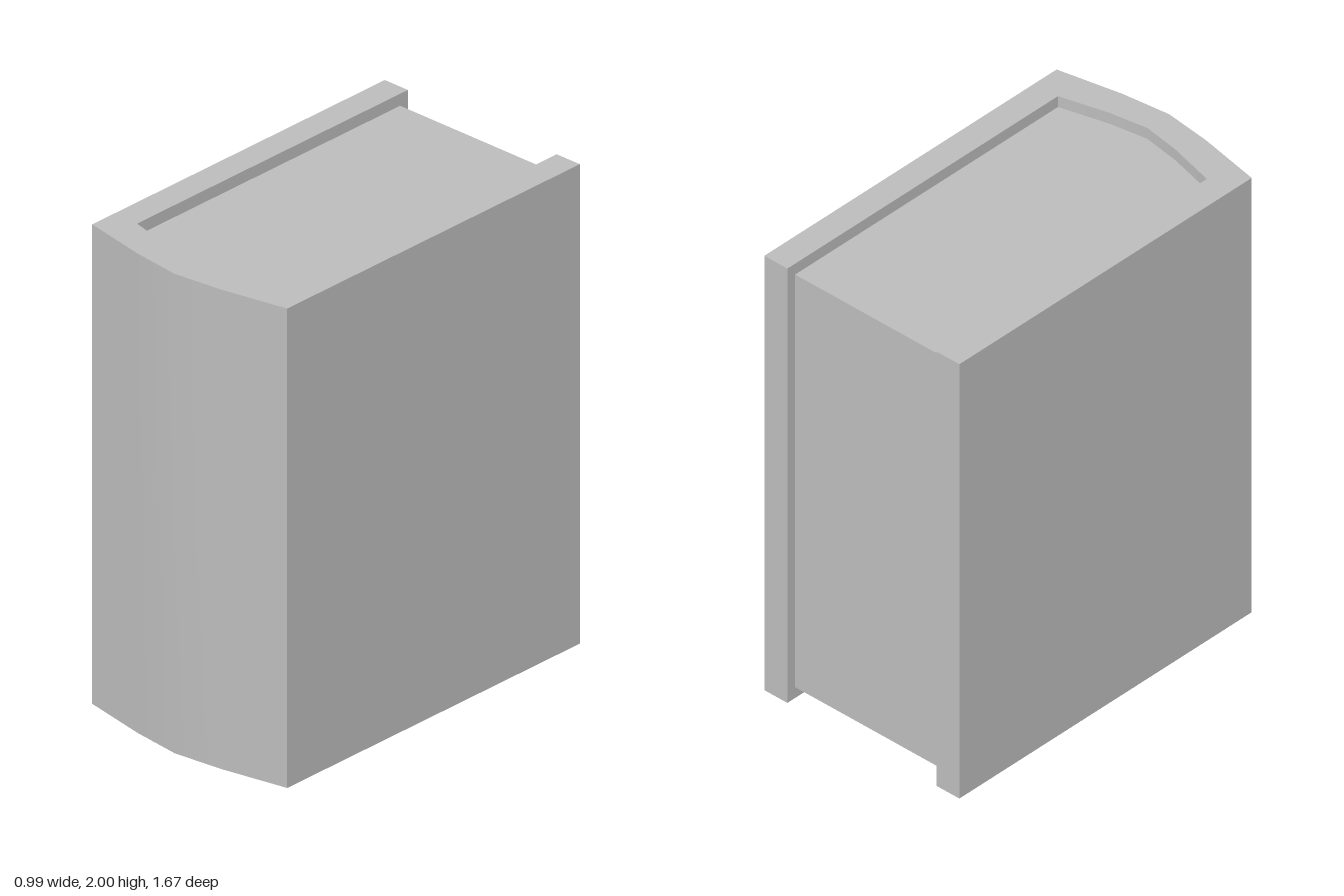
import * as THREE from 'three';
import { toCreasedNormals } from 'three/addons/utils/BufferGeometryUtils.js';

// Extrudes an outline of [x, z] points upward from y0 to y1.
function upright(points, y0, y1, material, name) {
  const shape = new THREE.Shape(points.map(([x, z]) => new THREE.Vector2(x, -z)));
  const geometry = new THREE.ExtrudeGeometry(shape, { depth: y1 - y0, bevelEnabled: false });
  geometry.rotateX(-Math.PI / 2).translate(0, y0, 0);
  const mesh = new THREE.Mesh(toCreasedNormals(geometry, 0.6), material);
  mesh.name = name;
  return mesh;
}

// Completes a half outline (ending on the centre line) with its mirror image.
const mirrored = (half) => [
  ...half,
  ...half.slice(0, -1).reverse().map(([x, z]) => [-x, z]),
];

export function createModel() {
  const book = new THREE.Group();
  book.name = 'book';
  const grey = new THREE.MeshStandardMaterial({ color: 0xbcbcbc });
  grey.name = 'grey';

  const back = -0.833;
  const outer = mirrored([[-0.494, back], [-0.494, 0.752], [-0.21, 0.808], [0, 0.833]]);
  const innerSpine = mirrored([[-0.377, 0.634], [-0.165, 0.689], [0, 0.715]]);

  // Cover: two boards joined by a gently curved spine, open at the back
  const inner = [[0.377, back], ...[...innerSpine].reverse(), [-0.377, back]];
  book.add(upright([...outer, ...inner], 0, 2, grey, 'cover'));

  // Pages: a block set slightly inside the cover on its open sides
  const pages = [[-0.377, -0.791], ...innerSpine, [0.377, -0.791]];
  book.add(upright(pages, 0.05, 1.95, grey, 'pages'));

  return book;
}
